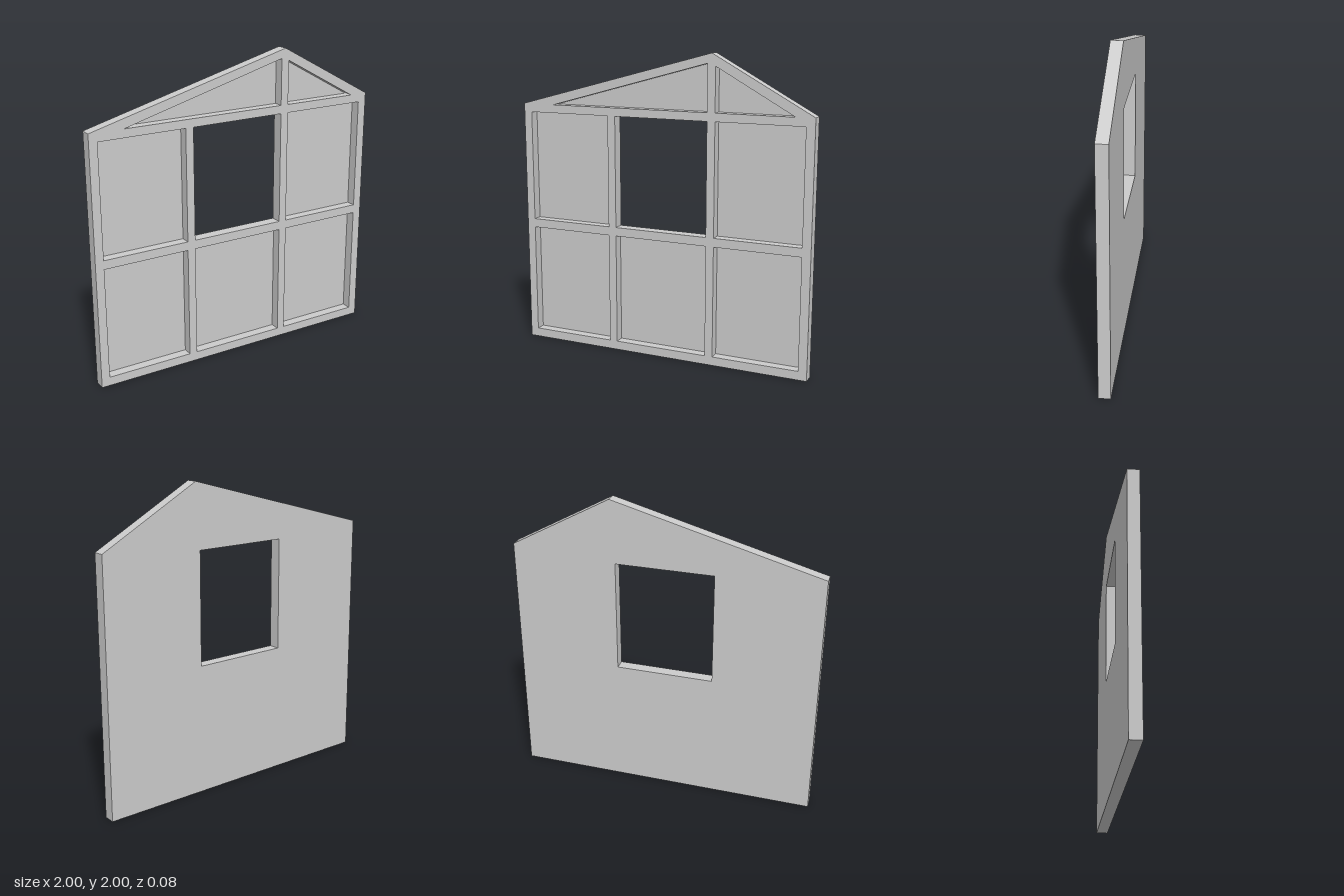
import * as THREE from 'three';

const BACK = -0.038, FRONT = 0.038, SHEET = 0.011;

const rect = (x0, x1, y0, y1) => [[x0, y0], [x1, y0], [x1, y1], [x0, y1]];
const points = (list) => list.map(([x, y]) => new THREE.Vector2(x, y));

// Gabled wall outline with an off-centre ridge
const outline = [[-1, 0], [1, 0], [1, 1.64], [0.345, 2], [-1, 1.64]];

// Bays between the studs and rails
const columns = [[-0.945, -0.373], [-0.32, 0.317], [0.37, 0.943]];
const rows = [[0.058, 0.792], [0.85, 1.584]];
const gables = [
  [[-0.777, 1.638], [0.317, 1.638], [0.317, 1.937]],
  [[0.37, 1.638], [0.878, 1.638], [0.37, 1.921]],
];
const windowBay = rect(...columns[1], ...rows[1]);

// Flat slab of the wall outline with openings cut through it
function slab(name, openings, z0, z1, material) {
  const shape = new THREE.Shape(points(outline));
  shape.holes = openings.map((o) => new THREE.Path(points(o)));
  const geometry = new THREE.ExtrudeGeometry(shape, { depth: z1 - z0, bevelEnabled: false });
  geometry.translate(0, 0, z0);
  const mesh = new THREE.Mesh(geometry, material);
  mesh.name = name;
  return mesh;
}

export function createModel() {
  const group = new THREE.Group();
  group.name = 'gableWall';
  const material = new THREE.MeshStandardMaterial({ color: 0xcccccc });

  const bays = rows.flatMap((r) => columns.map((c) => rect(...c, ...r)));

  // Timber frame: every bay is open
  group.add(slab('timberFrame', [...bays, ...gables], BACK + SHEET, FRONT, material));
  // Sheathing behind the frame: only the window is open
  group.add(slab('backSheathing', [windowBay], BACK, BACK + SHEET, material));
  return group;
}
